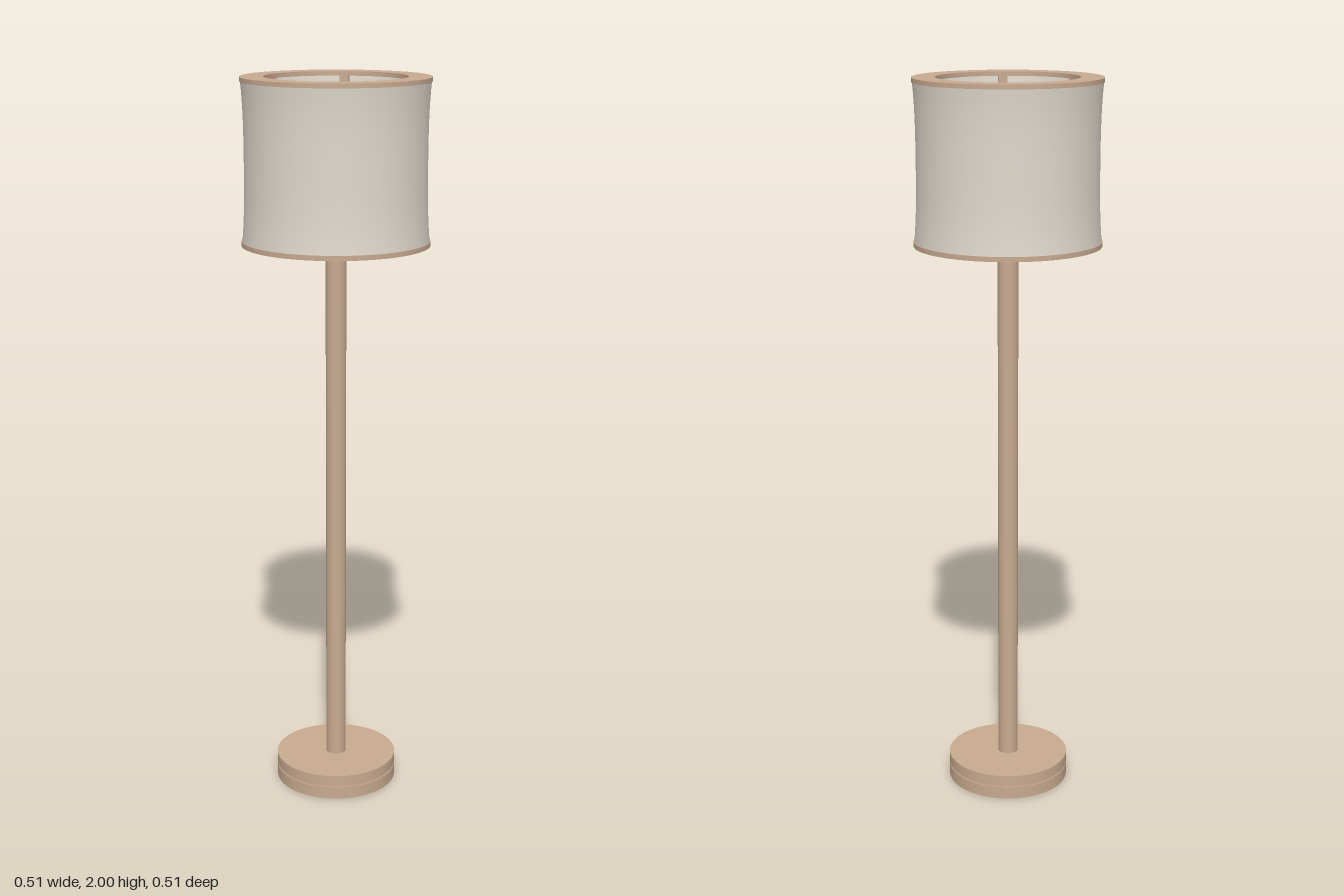
import * as THREE from 'three';

const wood = new THREE.MeshStandardMaterial({ color: 0xc8aa90 });
wood.name = 'wood';
const fabric = new THREE.MeshStandardMaterial({ color: 0xdfd8cc, side: THREE.DoubleSide });
fabric.name = 'fabric';
const metal = new THREE.MeshStandardMaterial({ color: 0x85857c });
metal.name = 'metal';
const dark = new THREE.MeshStandardMaterial({ color: 0x4a4640 });
dark.name = 'darkMetal';

const SEG = 64;

function add(parent, name, geometry, material, y = 0) {
  const mesh = new THREE.Mesh(geometry, material);
  mesh.name = name;
  mesh.position.y = y;
  parent.add(mesh);
  return mesh;
}

// Upright cylinder from height y0 to y1
function disc(parent, name, r, y0, y1, material) {
  return add(parent, name, new THREE.CylinderGeometry(r, r, y1 - y0, SEG), material, (y0 + y1) / 2);
}

// Flat ring with a round hole, from height y0 to y1
function ring(parent, name, rOut, rIn, y0, y1, material) {
  const shape = new THREE.Shape().absarc(0, 0, rOut, 0, Math.PI * 2);
  shape.holes.push(new THREE.Path().absarc(0, 0, rIn, 0, Math.PI * 2, true));
  const geometry = new THREE.ExtrudeGeometry(shape, { depth: y1 - y0, bevelEnabled: false, curveSegments: SEG });
  geometry.rotateX(-Math.PI / 2);
  return add(parent, name, geometry, material, y0);
}

export function createModel() {
  const lamp = new THREE.Group();
  lamp.name = 'floorLamp';

  // Base: two stacked discs with a fine groove between them
  disc(lamp, 'baseLower', 0.17, 0, 0.035, wood);
  disc(lamp, 'baseGroove', 0.166, 0.035, 0.039, wood);
  disc(lamp, 'baseUpper', 0.17, 0.039, 0.07, wood);
  disc(lamp, 'pole', 0.028, 0.07, 1.68, wood);

  // Shade: slightly waisted fabric drum between two wooden rings
  const profile = [];
  for (let i = 0; i <= 16; i++) {
    const t = i / 16;
    const r = 0.244 + 0.007 * Math.pow(Math.abs(2 * t - 1), 3);
    profile.push(new THREE.Vector2(r, 1.566 + t * 0.424));
  }
  add(lamp, 'shade', new THREE.LatheGeometry(profile, SEG), fabric);
  ring(lamp, 'shadeRingBottom', 0.253, 0.19, 1.557, 1.57, wood);
  ring(lamp, 'shadeRingTop', 0.253, 0.19, 1.988, 2, wood);

  // Holder plate with six arms, each meeting an upright post
  disc(lamp, 'holderPlate', 0.13, 1.67, 1.706, wood);
  for (let i = 0; i < 6; i++) {
    const spoke = new THREE.Group();
    spoke.name = 'frameSpoke';
    spoke.rotation.y = Math.PI / 6 + i * Math.PI / 3;
    add(spoke, 'arm', new THREE.BoxGeometry(0.12, 0.024, 0.024), wood, 1.688).position.x = 0.17;
    add(spoke, 'post', new THREE.BoxGeometry(0.024, 0.42, 0.024), wood, 1.779).position.x = 0.218;
    lamp.add(spoke);
  }

  // Bulb socket: hollow metal cup with a dark lining
  const cup = [[0.035, 1.706], [0.035, 1.77], [0.022, 1.77], [0.022, 1.706]];
  for (let i = 0; i < 3; i++) {
    const pair = [cup[i], cup[i + 1]].map(([r, y]) => new THREE.Vector2(r, y));
    add(lamp, ['socketWall', 'socketRim', 'socketLining'][i],
      new THREE.LatheGeometry(pair, 32), i === 2 ? dark : metal);
  }
  disc(lamp, 'socketContact', 0.017, 1.706, 1.73, metal);
  disc(lamp, 'socketFloor', 0.022, 1.704, 1.71, dark);

  return lamp;
}
